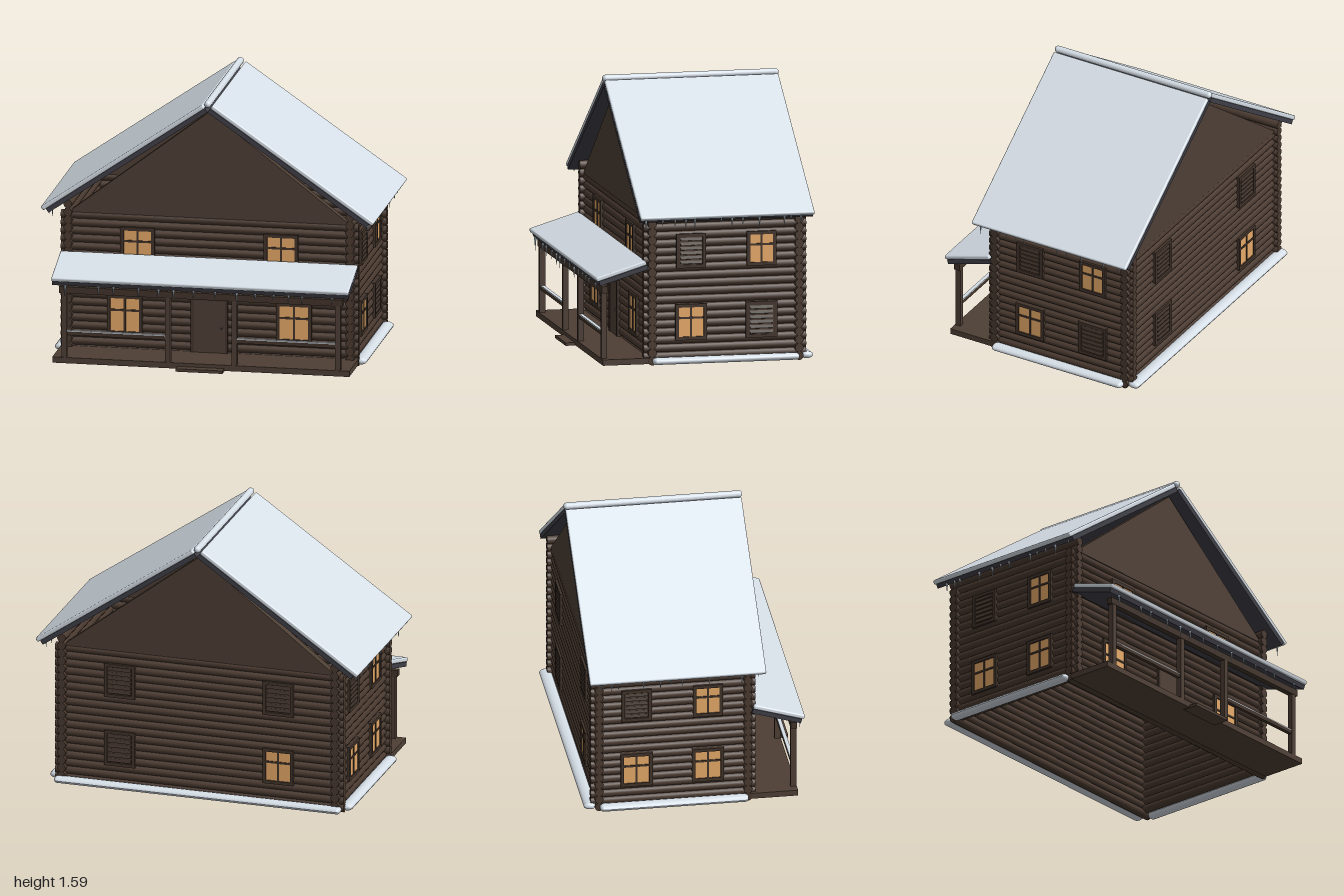
import * as THREE from 'three';
import { RoundedBoxGeometry } from 'three/addons/geometries/RoundedBoxGeometry.js';

const paint = (name, color) => Object.assign(new THREE.MeshStandardMaterial({ color }), { name });
const LOG = paint('dark log', 0x4a3a30);
const BOARD = paint('brown board', 0x4e3f35);
const TRIM = paint('dark trim', 0x42342b);
const ROOF = paint('roof slate', 0x3f3f48);
const SNOW = paint('snow', 0xe2ebf4);
const ICE = paint('ice', 0xbccad6);
const GLOW = paint('lit window', 0xf2b26e);

// wall centre lines and log sizes
const WX = 0.845, ZF = 0.312, ZB = -0.575, R = 0.0255, PITCH = 0.048, OUT = 0.047;

function add(parent, name, geo, mat, x = 0, y = 0, z = 0) {
  const m = new THREE.Mesh(geo, mat);
  m.name = name;
  m.position.set(x, y, z);
  parent.add(m);
  return m;
}
const box = (parent, name, mat, w, h, d, x, y, z) =>
  add(parent, name, new THREE.BoxGeometry(w, h, d), mat, x, y, z);

function group(parent, name) {
  const g = new THREE.Group();
  g.name = name;
  parent.add(g);
  return g;
}

// rounded bar of snow along x or z, flattened to an oval section
function drift(parent, name, axis, length, wide, high, x, y, z) {
  const geo = new THREE.CapsuleGeometry(1, 1, 6, 16);
  const p = geo.attributes.position;
  for (let i = 0; i < p.count; i++) {
    const s = Math.sign(p.getY(i));
    const along = s * (length / 2 - high) + (p.getY(i) - s * 0.5) * high;
    const a = p.getX(i) * wide, b = p.getZ(i) * high;
    if (axis === 'x') p.setXYZ(i, along, b, a);
    else p.setXYZ(i, a, -b, along);
  }
  geo.computeVertexNormals();
  const m = add(parent, name, geo, SNOW, x, y, z);
  return m;
}

// stacked logs with crossing ends
function walls(parent) {
  const g = group(parent, 'logWalls');
  const long = new THREE.CylinderGeometry(R, R, 2 * (WX + OUT), 14).rotateZ(Math.PI / 2);
  const side = new THREE.CylinderGeometry(R, R, ZF - ZB + 2 * OUT, 14).rotateX(Math.PI / 2);
  for (let i = 0; i < 18; i++)
    for (const z of [ZF, ZB]) add(g, 'endWallLog', long, LOG, 0, 0.026 + PITCH * i, z);
  for (let i = 0; i < 19; i++)
    for (const x of [-WX, WX]) add(g, 'sideWallLog', side, LOG, x, 0.048 + PITCH * i, (ZF + ZB) / 2);
  // gables
  const tri = new THREE.Shape([[-WX, 0.86], [WX, 0.86], [0, 1.51]].map(p => new THREE.Vector2(...p)));
  const gable = new THREE.ExtrudeGeometry(tri, { depth: 0.046, bevelEnabled: false });
  for (const z of [ZF, ZB]) add(g, 'gable', gable, BOARD, 0, 0, z - 0.023);
}

// frame with either a lit cross-barred pane or a slatted shutter, facing local +z
function opening(parent, lit, w, h) {
  const g = group(parent, lit ? 'window' : 'shutteredWindow');
  const b = 0.02, W = w + 2 * b, H = h + 2 * b;
  for (const s of [-1, 1]) {
    box(g, 'frameSide', TRIM, b, H, 0.03, s * (w + b) / 2, 0, 0.022);
    box(g, 'frameRail', TRIM, W, b, 0.03, 0, s * (h + b) / 2, 0.022);
  }
  if (lit) {
    box(g, 'pane', GLOW, w, h, 0.006, 0, 0, 0.026);
    box(g, 'bar', TRIM, 0.012, h, 0.012, 0, 0, 0.028);
    box(g, 'bar', TRIM, w, 0.012, 0.012, 0, h * 0.14, 0.028);
  } else {
    box(g, 'shutterPanel', LOG, w, h, 0.008, 0, 0, 0.025);
    for (let i = 0; i < 6; i++) {
      const slat = box(g, 'slat', TRIM, w * 0.92, h * 0.11, 0.008, 0, h * ((i + 0.5) / 6 - 0.5), 0.031);
      slat.rotation.x = -0.3;
    }
  }
  return g;
}

function windows(parent) {
  const place = (lit, w, h, x, y, z, turn) => {
    const o = opening(parent, lit, w, h);
    o.position.set(x, y, z);
    o.rotation.y = turn;
  };
  const LOW = 0.25, HIGH = 0.675;
  for (const s of [-1, 1]) {
    place(true, 0.172, 0.2, s * 0.507, LOW, ZF, 0);
    place(true, 0.165, 0.18, s * 0.43, HIGH, ZF, 0);
    place(s < 0, 0.15, 0.18, s * 0.49, LOW, ZB, Math.PI);
    place(false, 0.15, 0.17, s * 0.49, HIGH, ZB, Math.PI);
    const turn = s * Math.PI / 2;
    place(true, 0.15, 0.175, s * WX, LOW, 0.075, turn);
    place(s < 0, 0.15, 0.175, s * WX, LOW, -0.35, turn);
    place(s < 0, 0.138, 0.165, s * WX, HIGH, 0.075, turn);
    place(s > 0, 0.138, 0.165, s * WX, HIGH, -0.35, turn);
  }
}

// a sloping slab running down +x, snow on top
function slope(parent, name, length, width, angle, lip) {
  const g = group(parent, name);
  const t = 0.028, s = 0.027;
  box(g, 'roofDeck', ROOF, length, t, width, length / 2, t / 2, 0);
  add(g, 'roofSnow', new RoundedBoxGeometry(length + lip, s, width + 0.004, 3, 0.009), SNOW,
    (length + lip) / 2, t + s / 2, 0);
  g.rotation.z = -angle;
  return g;
}

function icicle(parent, x, y, z, len) {
  const r = 0.0045 + len * 0.04;
  add(parent, 'icicle', new THREE.ConeGeometry(r, len, 6).rotateX(Math.PI), ICE, x, y - len / 2, z);
}

export function createModel() {
  const model = new THREE.Group();
  model.name = 'snowyLogCabin';
  walls(model);
  windows(model);

  // main roof
  const zMid = -0.12;
  for (const s of [-1, 1]) {
    const half = group(model, 'roofHalf');
    half.position.set(0, 1.523, zMid);
    if (s < 0) half.rotation.y = Math.PI;
    slope(half, 'mainRoof', 1.157, 1.046, 0.604, 0.021);
  }
  drift(model, 'ridgeSnow', 'z', 1.066, 0.021, 0.021, 0, 1.571, zMid);

  // porch roof
  const porch = group(model, 'porch');
  const lean = group(porch, 'porchRoof');
  lean.position.set(0, 0.575, 0.335);
  lean.rotation.y = -Math.PI / 2;
  slope(lean, 'porchSlope', 0.304, 1.776, 0.295, 0.012);

  // porch deck, step, posts and rails
  box(porch, 'deck', BOARD, 1.78, 0.035, 0.3, 0, 0.0275, 0.46);
  box(porch, 'step', BOARD, 0.28, 0.018, 0.1, 0, 0.015, 0.615);
  box(porch, 'beam', TRIM, 1.7, 0.04, 0.036, 0, 0.455, 0.59);
  for (const s of [-1, 1]) {
    for (const x of [0.82, 0.2]) box(porch, 'post', BOARD, 0.032, 0.4, 0.034, s * x, 0.24, 0.59);
    box(porch, 'rail', TRIM, 0.6, 0.022, 0.022, s * 0.51, 0.19, 0.59);
    box(porch, 'railSnow', SNOW, 0.588, 0.006, 0.022, s * 0.51, 0.204, 0.59);
  }

  // door
  const door = group(model, 'door');
  box(door, 'doorLeaf', BOARD, 0.19, 0.32, 0.03, 0, 0.205, ZF + 0.018);
  for (const s of [-1, 1]) box(door, 'doorJamb', TRIM, 0.016, 0.33, 0.036, s * 0.102, 0.21, ZF + 0.019);
  box(door, 'doorHead', TRIM, 0.22, 0.016, 0.036, 0, 0.37, ZF + 0.019);
  add(door, 'doorKnob', new THREE.SphereGeometry(0.007, 10, 8), ROOF, 0.075, 0.2, ZF + 0.038);

  // snow banked against the walls
  drift(model, 'backSnow', 'x', 1.77, 0.038, 0.021, 0, 0.026, -0.626);
  for (const s of [-1, 1]) drift(model, 'sideSnow', 'z', 0.885, 0.036, 0.021, s * 0.899, 0.026, -0.13);

  // icicles along the eaves
  let seed = 7;
  const rnd = () => (seed = (seed * 16807) % 2147483647) / 2147483647;
  const ice = group(model, 'icicles');
  for (const s of [-1, 1])
    for (const z of [0.365, 0.265, 0.19, 0.125, 0.07, -0.09, -0.155, -0.22, -0.32, -0.47, -0.51, -0.57])
      icicle(ice, s * 0.955, 0.876, z, 0.025 + rnd() * 0.055);
  for (const x of [-0.81, -0.61, -0.52, -0.37, -0.25, -0.16, -0.04, 0.09, 0.22, 0.33, 0.44, 0.53, 0.61, 0.79])
    icicle(ice, x, 0.492, 0.632, 0.03 + rnd() * 0.05);

  return model;
}
